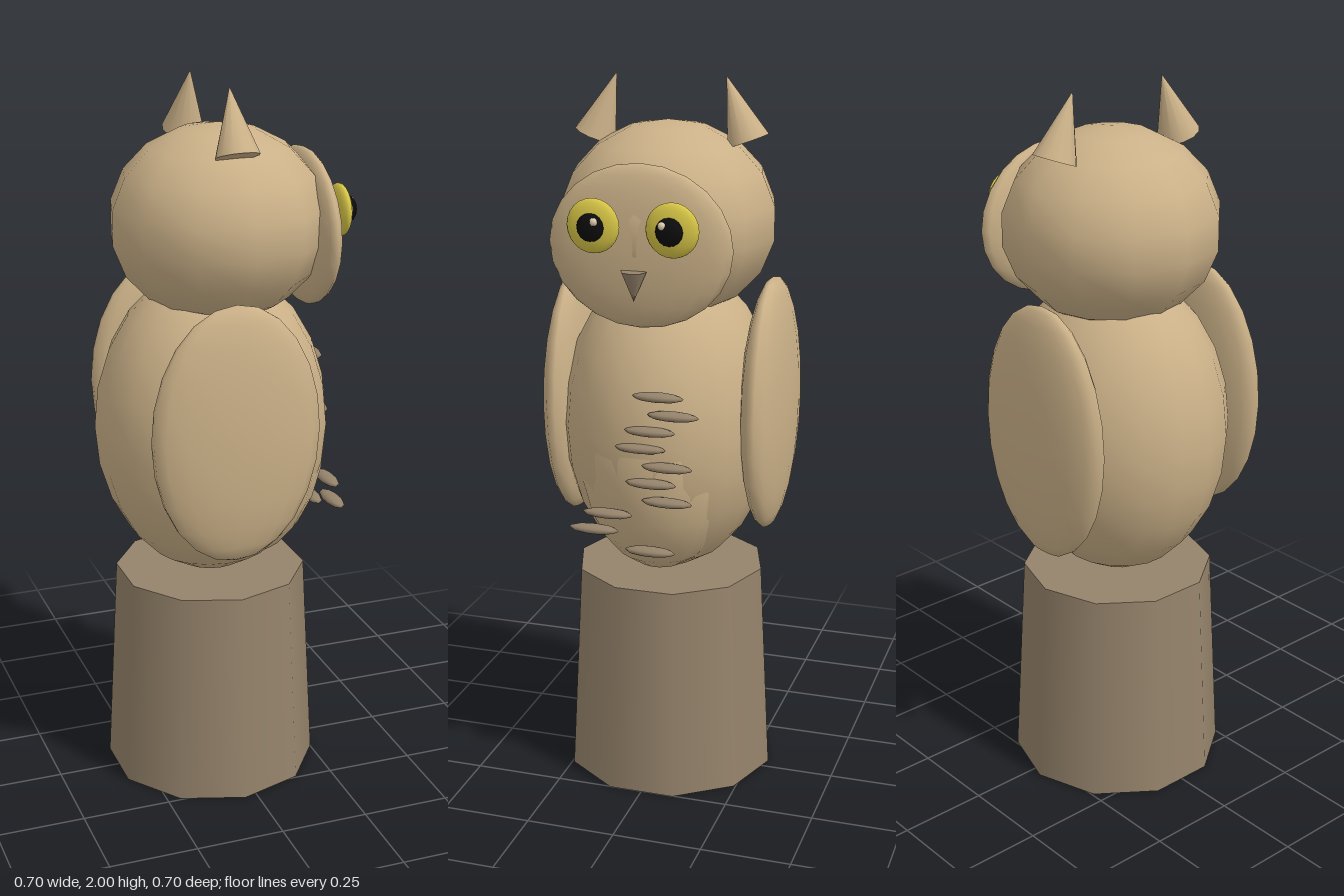
import * as THREE from 'three';

const mat = (name, color) => new THREE.MeshStandardMaterial({ name, color });

export function createModel() {
  const tan = mat('tan feathers', 0xcbb188);
  const pale = mat('pale belly', 0xd0b68c);
  const bark = mat('bark brown', 0x95836b);
  const yellow = mat('eye yellow', 0xd8c647);
  const black = mat('pupil black', 0x0c0c0c);
  const cream = mat('cream glint', 0xe2cfb0);

  const model = new THREE.Group();
  model.name = 'owlOnStump';
  // the bird is built facing +z, then turned to face +x
  const owl = new THREE.Group();
  owl.name = 'owl';
  owl.rotation.y = Math.PI / 2;
  model.add(owl);

  const add = (name, geometry, material, x, y, z) => {
    const mesh = new THREE.Mesh(geometry, material);
    mesh.name = name;
    mesh.position.set(x, y, z);
    owl.add(mesh);
    return mesh;
  };
  const ellipsoid = (name, material, pos, radii, w = 18, h = 12) =>
    add(name, new THREE.SphereGeometry(1, w, h).scale(...radii), material, ...pos);

  // stump with ten sides
  const stump = new THREE.CylinderGeometry(0.27, 0.302, 0.61, 10).rotateY(Math.PI / 10);
  add('stump', stump, bark, 0, 0.305, -0.035);

  // body, belly and head
  ellipsoid('body', tan, [0, 1.05, -0.03], [0.3, 0.44, 0.33]);
  ellipsoid('belly', pale, [0, 1.005, 0.06], [0.24, 0.375, 0.237]);
  ellipsoid('head', tan, [0, 1.615, -0.01], [0.302, 0.268, 0.302], 12, 9);
  ellipsoid('faceDisc', tan, [0, 1.585, 0.237], [0.252, 0.217, 0.05]);

  // beak pointing down
  const beak = new THREE.ConeGeometry(0.035, 0.08, 8).rotateX(Math.PI);
  add('beak', beak, bark, 0, 1.49, 0.292);

  // mirrored wings, eyes and ear tufts
  for (const s of [-1, 1]) {
    const side = s > 0 ? 'left' : 'right';
    ellipsoid(side + 'Wing', tan, [s * 0.284, 1.1, -0.06], [0.064, 0.36, 0.238]);
    ellipsoid(side + 'Eye', yellow, [s * 0.107, 1.645, 0.3], [0.072, 0.072, 0.023], 16, 12);
    ellipsoid(side + 'Pupil', black, [s * 0.106, 1.645, 0.325], [0.037, 0.037, 0.022], 12, 8);
    ellipsoid(side + 'EyeGlint', cream, [s * 0.091, 1.663, 0.341], [0.011, 0.011, 0.009], 8, 6);
    const tuft = add(side + 'EarTuft', new THREE.ConeGeometry(0.06, 0.18, 12), tan, s * 0.184, 1.915, -0.034);
    tuft.rotation.z = s * 0.35;
  }

  // breast flecks: [sideways, height]
  const flecks = [
    [0.065, 1.197], [0.107, 1.148], [0.042, 1.1], [0.015, 1.051], [0.09, 1.003],
    [0.045, 0.954], [0.09, 0.905], [-0.078, 0.857], [-0.118, 0.808], [0.042, 0.76],
  ];
  for (const [x, y] of flecks) {
    ellipsoid('breastFleck', bark, [x, y, 0.293], [0.071, 0.013, 0.024], 10, 8);
  }
  return model;
}
